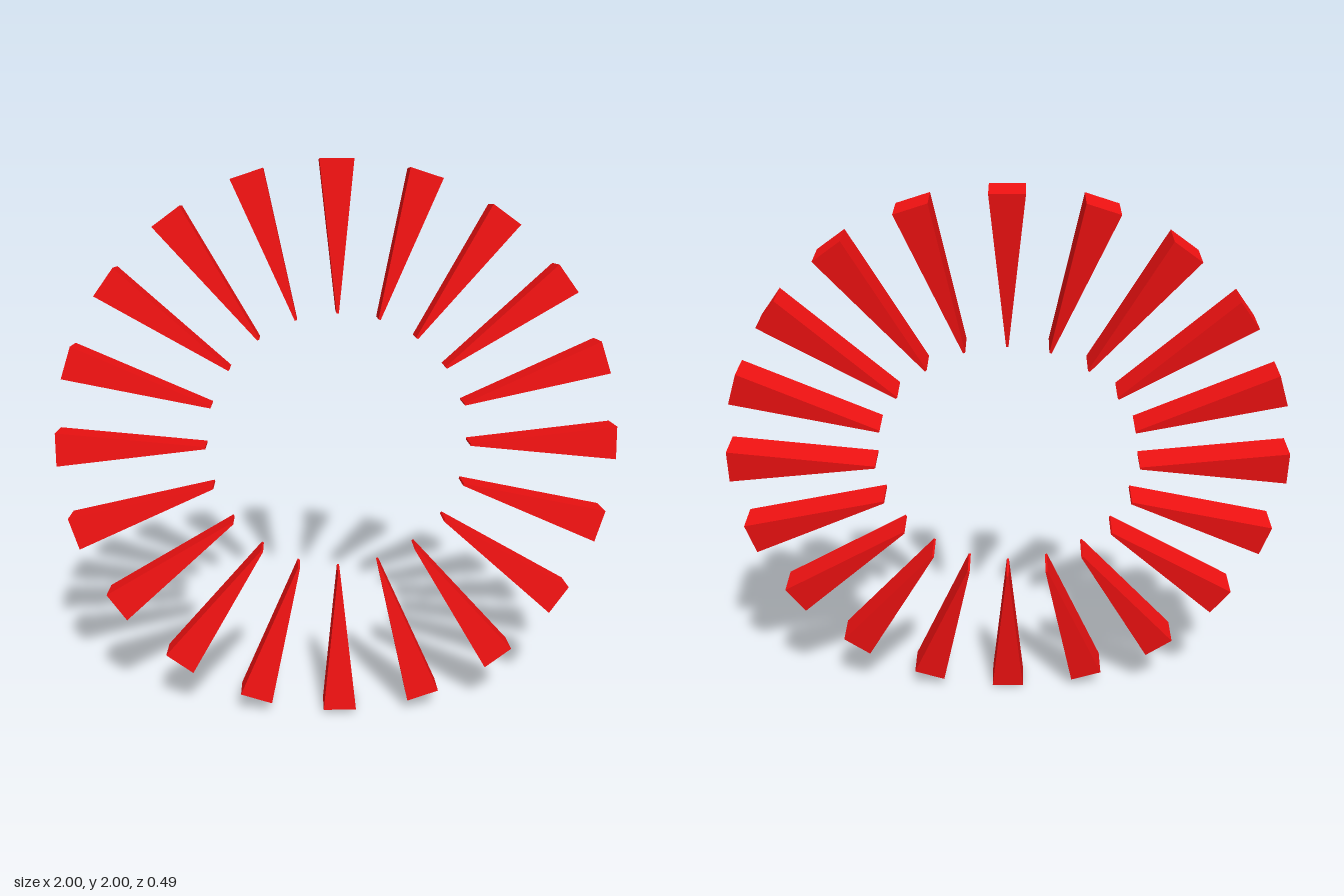
import * as THREE from 'three';

const COUNT = 20;
const INNER = 0.473, OUTER = 1.0;    // radial reach of each wedge
const TIP = 0.008, BASE = 0.12;      // width at the inner and outer end
const DEPTH = 0.12;

// Tapered block pointing outwards along +x, of constant depth
function wedgeGeometry() {
  const shape = new THREE.Shape([
    new THREE.Vector2(INNER, -TIP / 2),
    new THREE.Vector2(OUTER, -BASE / 2),
    new THREE.Vector2(OUTER, BASE / 2),
    new THREE.Vector2(INNER, TIP / 2),
  ]);
  const geometry = new THREE.ExtrudeGeometry(shape, { depth: DEPTH, bevelEnabled: false });
  return geometry.translate(0, 0, -DEPTH / 2);
}

export function createModel() {
  const model = new THREE.Group();
  model.name = 'wedgeRing';

  const red = new THREE.MeshStandardMaterial({ color: 0xee1111, flatShading: true });
  const geometry = wedgeGeometry();

  // Ring of evenly spaced wedges
  const ring = new THREE.Group();
  ring.name = 'tiltedRing';
  for (let i = 0; i < COUNT; i++) {
    const wedge = new THREE.Mesh(geometry, red);
    wedge.name = `wedge${i + 1}`;
    wedge.rotation.z = (i / COUNT) * Math.PI * 2;
    ring.add(wedge);
  }

  // Lean back and turn slightly to the side
  ring.rotation.set(THREE.MathUtils.degToRad(-8), THREE.MathUtils.degToRad(7), 0, 'YXZ');
  ring.position.y = 0.9986;
  model.add(ring);
  return model;
}
